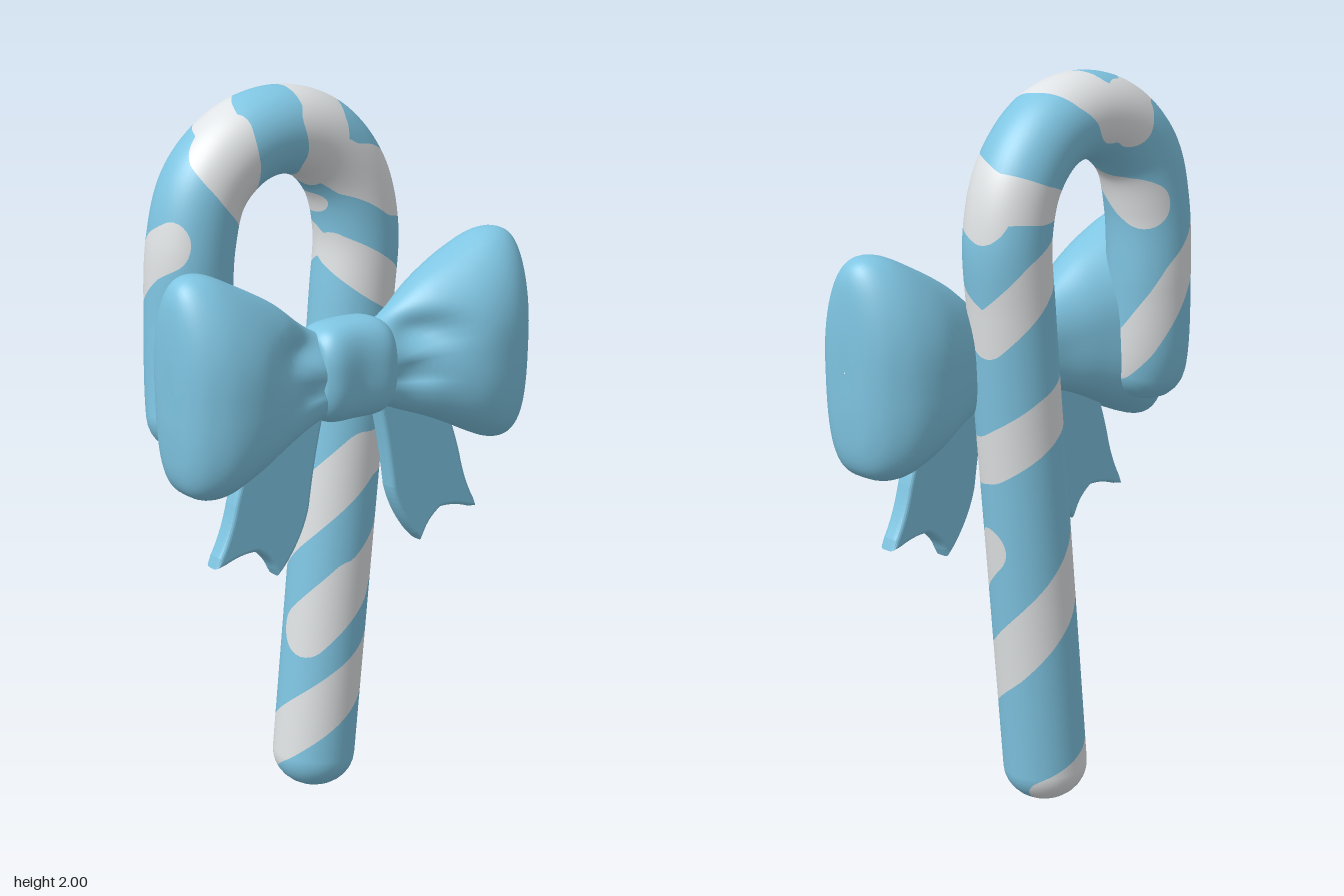
import * as THREE from 'three';

const blue = new THREE.MeshStandardMaterial({ color: 0x7fc5e2 });
blue.name = 'ribbonBlue';
const white = new THREE.MeshStandardMaterial({ color: 0xe0e3e5 });
white.name = 'stripeWhite';

const V = (x, y, z = 0) => new THREE.Vector3(x, y, z);

// Cane centre line: leaning shaft, round arch, short end that tucks into the bow
const path = new THREE.CatmullRomCurve3([
  [-0.015, 0], [0.06, 0.75], [0.125, 1.4], [0.138, 1.6], [0.1, 1.745], [0.005, 1.85], [-0.115, 1.885],
  [-0.24, 1.855], [-0.345, 1.76], [-0.388, 1.62], [-0.4, 1.4], [-0.41, 1.2, -0.085], [-0.425, 1.08, -0.04],
].map(([x, y, z = -0.1]) => V(x, y, z)));
path.arcLengthDivisions = 600;
const LENGTH = path.getLength();
const R = 0.116, CAP = 0.1;

// White stripes as strokes on the cane: half width, then [angle from the front in degrees, distance along cane]
const strokes = [
  [0.07, [[140, 0.03], [225, 0.1], [270, 0.16], [360, 0.31], [450, 0.45], [540, 0.62], [630, 0.8], [720, 0.99]]],
  [0.065, [[0, 0.99], [90, 1.03], [180, 1.13], [270, 1.2]]],
  [0.075, [[-65, 0.48], [0, 0.62]]],
  [0.06, [[0, 0.62], [75, 0.77]]],
  [0.06, [[-70, 1.56], [0, 1.48], [60, 1.42], [100, 1.37], [180, 1.5], [250, 1.58]]],
  // Band round the right of the arch, joined to the top bands on the inside
  [0.05, [[270, 1.74], [180, 1.7], [90, 1.69]]],
  [0.075, [[100, 1.67], [35, 1.71], [-15, 1.81], [-35, 1.92]]],
  [0.065, [[-70, 1.9], [-35, 1.92], [20, 1.96]]],
  [0.055, [[20, 1.96], [90, 1.97], [140, 2.0], [180, 2.05]]],
  // Band over the left of the arch
  [0.07, [[180, 2.06], [150, 2.12], [180, 2.13]]],
  [0.045, [[150, 2.12], [90, 2.18], [45, 2.21]]],
  [0.075, [[45, 2.22], [0, 2.25], [-90, 2.34], [-130, 2.42]]],
  // Band round the hanging end
  [0.055, [[60, 2.45], [90, 2.48], [180, 2.64], [240, 2.8], [270, 2.86]]],
];

// Positive inside a stripe, negative outside
function stripeField(s, deg) {
  let best = -1;
  for (const [half, pts] of strokes) {
    for (let i = 0; i + 1 < pts.length; i++) {
      const [a0, s0] = pts[i], [a1, s1] = pts[i + 1];
      const mid = (a0 + a1) / 2;
      const a = deg - 360 * Math.round((deg - mid) / 360);
      const k = R * Math.PI / 180;
      const ux = (a1 - a0) * k, uy = s1 - s0, px = (a - a0) * k, py = s - s0;
      const t = Math.min(1, Math.max(0, (px * ux + py * uy) / (ux * ux + uy * uy)));
      best = Math.max(best, half - Math.hypot(px - t * ux, py - t * uy));
    }
  }
  return best;
}

// Surface point and normal of the cane
function canePoint(s, deg) {
  const t = Math.min(1, Math.max(0, s / LENGTH));
  const c = path.getPointAt(t), T = path.getTangentAt(t);
  const a = deg * Math.PI / 180;
  const side = V(T.y, -T.x).normalize();
  const front = side.clone().cross(T).normalize();
  const radial = side.multiplyScalar(Math.sin(a)).addScaledVector(front, Math.cos(a));
  const u = s < CAP ? (s - CAP) / CAP : s > LENGTH - CAP ? (s - LENGTH + CAP) / CAP : 0;
  const k = Math.sqrt(Math.max(0, 1 - u * u));
  return {
    p: c.addScaledVector(radial, R * k),
    n: radial.multiplyScalar(k).addScaledVector(T, u).normalize(),
  };
}

// Part of a triangle on one side of the stripe edge
function clip(tri, sign) {
  const out = [];
  tri.forEach((a, i) => {
    const b = tri[(i + 1) % 3];
    if (a.f * sign >= 0) out.push(a);
    if (a.f * b.f < 0) {
      const t = a.f / (a.f - b.f);
      out.push({ s: a.s + (b.s - a.s) * t, d: a.d + (b.d - a.d) * t });
    }
  });
  return out;
}

function caneGeometry(sign) {
  const rows = [], COLS = 48, ROWS = 190;
  for (let i = 0; i < 8; i++) rows.push(CAP * (1 - Math.cos(i / 8 * Math.PI / 2)));
  for (let i = 0; i <= ROWS; i++) rows.push(CAP + (LENGTH - 2 * CAP) * i / ROWS);
  for (let i = 7; i >= 0; i--) rows.push(LENGTH - rows[i]);
  const grid = rows.map(s => Array.from({ length: COLS + 1 }, (_, j) => {
    const d = j * 360 / COLS;
    return { s, d, f: stripeField(s, d) };
  }));
  const pos = [], nor = [];
  const emit = v => {
    const { p, n } = canePoint(v.s, v.d);
    pos.push(p.x, p.y, p.z);
    nor.push(n.x, n.y, n.z);
  };
  for (let i = 0; i + 1 < rows.length; i++) {
    for (let j = 0; j < COLS; j++) {
      const a = grid[i][j], b = grid[i][j + 1], c = grid[i + 1][j + 1], d = grid[i + 1][j];
      for (const tri of [[a, b, c], [a, c, d]]) {
        const poly = clip(tri, sign);
        for (let k = 1; k + 1 < poly.length; k++) [poly[0], poly[k], poly[k + 1]].forEach(emit);
      }
    }
  }
  const g = new THREE.BufferGeometry();
  g.setAttribute('position', new THREE.Float32BufferAttribute(pos, 3));
  g.setAttribute('normal', new THREE.Float32BufferAttribute(nor, 3));
  return g;
}

// Smooth loft along x through sections [x, centre y, half height, centre z, half depth]
function loft(sections, topPower, lowPower, side, shape) {
  const n = sections.length, STEPS = (n - 1) * 6, COLS = 56;
  const spline = new THREE.CubicInterpolant(sections.map((_, i) => i), sections.flat(), 5);
  const pos = [], idx = [];
  const round = (v, power) => Math.sign(v) * Math.abs(v) ** power;
  for (let i = 0; i <= STEPS; i++) {
    const [x, cy, hh, cz, hd] = spline.evaluate(i / 6);
    for (let j = 0; j < COLS; j++) {
      const a = j / COLS * Math.PI * 2, c = Math.cos(a);
      const power = c < 0 ? lowPower : topPower;
      const p = V(x, cy + hh * round(c, power), cz + hd * round(Math.sin(a), power));
      if (shape) shape(p, cy, cz, hh);
      pos.push(p.x * side, p.y, p.z);
      if (i === STEPS) continue;
      const q = i * COLS + j, r = i * COLS + (j + 1) % COLS;
      if (side > 0) idx.push(q, r, r + COLS, q, r + COLS, q + COLS);
      else idx.push(q, r + COLS, r, q, q + COLS, r + COLS);
    }
  }
  const g = new THREE.BufferGeometry();
  g.setAttribute('position', new THREE.Float32BufferAttribute(pos, 3));
  g.setIndex(idx);
  g.computeVertexNormals();
  return g;
}

const loopSections = [
  [0.05, 1.255, 0.1, 0.045, 0.065], [0.1, 1.255, 0.115, 0.045, 0.075], [0.16, 1.262, 0.145, 0.042, 0.09],
  [0.25, 1.28, 0.195, 0.045, 0.13], [0.36, 1.285, 0.25, 0.045, 0.17], [0.45, 1.285, 0.29, 0.048, 0.165],
  [0.515, 1.285, 0.285, 0.052, 0.13], [0.55, 1.285, 0.235, 0.055, 0.085], [0.562, 1.285, 0.12, 0.055, 0.04],
  [0.563, 1.285, 0.002, 0.055, 0.002],
];

// Loops are fuller low down, lean outward at the top and are pinched into folds by the knot
function loopShape(p, cy, cz, hh) {
  const v = (p.y - cy) / hh;
  p.z = cz + (p.z - cz) * (1 - 0.2 * Math.max(0, v) ** 2);
  p.x += 0.02 * (p.y - cy) * Math.min(1, p.x / 0.5);
  const dent = (x, y, wx, wy) => Math.exp(-(((p.x - x) / wx) ** 2) - ((p.y - y) / wy) ** 2);
  if (p.z > cz) {
    p.z -= 0.045 * dent(0.21, 1.34, 0.08, 0.045) + 0.025 * dent(0.18, 1.23, 0.07, 0.02);
  }
}

const knotSections = [
  [-0.122, 1.255, 0.002, 0.045, 0.002], [-0.12, 1.255, 0.085, 0.045, 0.06], [-0.108, 1.255, 0.115, 0.045, 0.082],
  [-0.072, 1.256, 0.133, 0.046, 0.094], [0, 1.258, 0.137, 0.046, 0.089], [0.072, 1.256, 0.133, 0.046, 0.094],
  [0.108, 1.255, 0.115, 0.045, 0.082], [0.12, 1.255, 0.085, 0.045, 0.06], [0.122, 1.255, 0.002, 0.045, 0.002],
];

// Forked ribbon tail
function tailGeometry(side) {
  const s = new THREE.Shape();
  const X = x => x * side;
  s.moveTo(X(0.09), 1.2);
  s.quadraticCurveTo(X(0.13), 1.05, X(0.15), 0.9);
  s.quadraticCurveTo(X(0.17), 0.82, X(0.238), 0.742);
  s.quadraticCurveTo(X(0.255), 0.79, X(0.305), 0.82);
  s.quadraticCurveTo(X(0.36), 0.825, X(0.425), 0.797);
  s.quadraticCurveTo(X(0.385), 0.86, X(0.365), 0.95);
  s.quadraticCurveTo(X(0.335), 1.06, X(0.27), 1.2);
  s.closePath();
  const g = new THREE.ExtrudeGeometry(s, {
    depth: 0.025, bevelEnabled: true, bevelThickness: 0.015, bevelSize: 0.012, bevelSegments: 4, curveSegments: 10,
  });
  return g.translate(0, 0, 0.035);
}

export function createModel() {
  const group = new THREE.Group();
  group.name = 'candyCaneWithBow';
  const add = (name, geometry, material) => {
    const m = new THREE.Mesh(geometry, material);
    m.name = name;
    group.add(m);
  };
  add('caneBase', caneGeometry(-1), blue);
  add('caneStripes', caneGeometry(1), white);
  for (const [label, side] of [['left', 1], ['right', -1]]) {
    add(label + 'BowLoop', loft(loopSections, 0.85, 0.65, side, loopShape), blue);
    add(label + 'RibbonTail', tailGeometry(side), blue);
  }
  add('bowKnot', loft(knotSections, 0.75, 0.75, 1), blue);
  return group;
}
